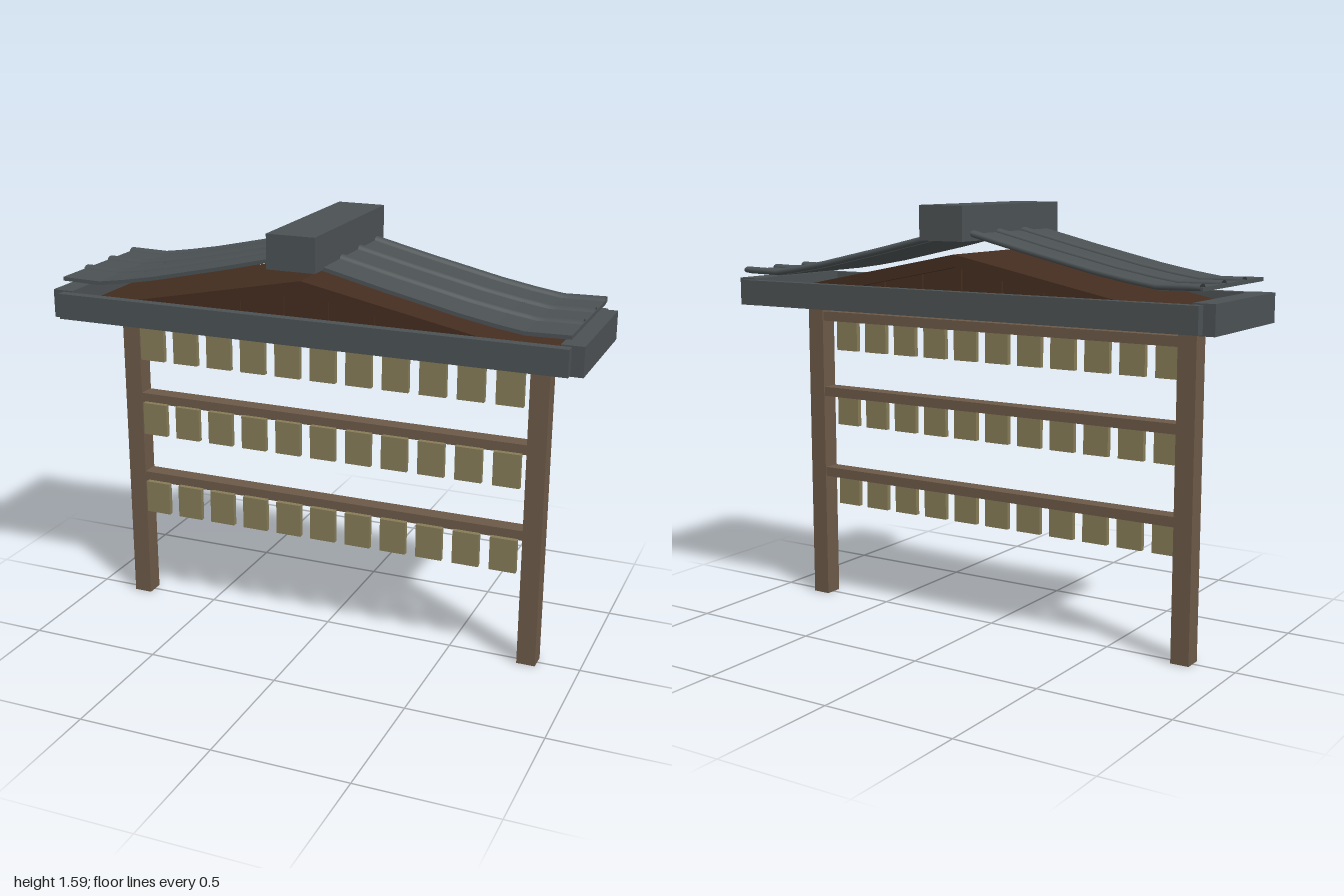
import * as THREE from 'three';

const mat = (name, color, side = THREE.FrontSide) => {
  const m = new THREE.MeshStandardMaterial({ color, side });
  m.name = name;
  return m;
};

export function createModel() {
  const slate = mat('slate grey', 0x4b5153, THREE.DoubleSide);
  const wood = mat('weathered wood', 0x6b5947);
  const plaqueWood = mat('plaque wood', 0x857b57);
  const darkWood = mat('dark brown wood', 0x442d20);
  const model = new THREE.Group();
  model.name = 'plaqueRack';

  const add = (name, geo, m) => {
    const mesh = new THREE.Mesh(geo, m);
    mesh.name = name;
    model.add(mesh);
    return mesh;
  };
  // box given by its limits on each axis
  const box = (name, m, [x0, x1], [y0, y1], [z0, z1]) =>
    add(name, new THREE.BoxGeometry(x1 - x0, y1 - y0, z1 - z0), m)
      .position.set((x0 + x1) / 2, (y0 + y1) / 2, (z0 + z1) / 2);
  // side profile extruded from z0 to z1
  const slab = (name, m, points, z0, z1) => {
    const shape = new THREE.Shape(points.map(([x, y]) => new THREE.Vector2(x, y)));
    const geo = new THREE.ExtrudeGeometry(shape, { depth: z1 - z0, bevelEnabled: false });
    add(name, geo.translate(0, 0, z0), m);
  };

  // posts
  for (const s of [-1, 1]) {
    box(s > 0 ? 'leftPost' : 'rightPost', wood, [s * 0.805 - 0.035, s * 0.805 + 0.035], [0, 1.22], [-0.035, 0.035]);
  }

  // rails with hanging plaques
  for (const top of [1.157, 0.855, 0.528]) {
    box('rail', wood, [-0.77, 0.77], [top - 0.037, top], [-0.03, 0.034]);
    for (let i = -5; i <= 5; i++) {
      const x = i * 0.141;
      box('plaque', plaqueWood, [x - 0.05, x + 0.05], [top - 0.16, top - 0.033], [0.034, 0.054]);
    }
  }

  // eave frame
  for (const s of [-1, 1]) {
    box('eaveBoard', slate, [-0.957, 0.957], [1.195, 1.29], [s * 0.268 - 0.018, s * 0.268 + 0.018]);
    box('endBoard', slate, [s * 0.96 - 0.04, s * 0.96 + 0.04], [1.19, 1.295], [-0.25, 0.25]);
  }

  // inner ceiling and its rafters, sloping down both ways from the centre
  const slope = (x) => 1.417 - 0.2 * Math.abs(x);
  const chevron = (half, top, bottom) => [
    [-half, slope(half) - bottom], [0, slope(0) - bottom], [half, slope(half) - bottom],
    [half, slope(half) - top], [0, slope(0) - top], [-half, slope(half) - top],
  ];
  slab('ceiling', darkWood, chevron(0.92, 0, 0.018), -0.245, 0.245);
  for (const z of [-0.22, 0.22]) slab('rafter', darkWood, chevron(0.9, 0.018, 0.045), z - 0.02, z + 0.02);

  // gable planks, alternately set back
  for (const s of [-1, 1]) {
    for (let i = -7; i < 7; i++) {
      const x0 = i * 0.085, x1 = x0 + 0.085;
      const z = s * (0.19 - (i & 1) * 0.008);
      slab('gablePlank', darkWood,
        [[x0, 1.24], [x1, 1.24], [x1, slope(x1) - 0.01], [x0, slope(x0) - 0.01]], z - 0.008, z + 0.008);
    }
  }

  // swept roof sides with rounded battens
  const curve = [[0.04, 1.486], [0.3, 1.424], [0.57, 1.364], [0.7, 1.34], [0.8, 1.325], [0.955, 1.328]];
  const heightAt = (x) => {
    let i = 0;
    while (i < curve.length - 2 && x > curve[i + 1][0]) i++;
    const [a, b] = [curve[i], curve[i + 1]];
    return a[1] + (b[1] - a[1]) * (x - a[0]) / (b[0] - a[0]);
  };
  for (const s of [-1, 1]) {
    const lift = s < 0 ? 0.018 : 0;
    const upper = curve.map(([x, y]) => [s * x, y + lift]);
    const lower = curve.map(([x, y]) => [s * x, y + lift - 0.014]).reverse();
    slab('roofPanel', slate, upper.concat(lower), -0.25, 0.25);

    for (const z of [-0.255, -0.087, 0.083]) {
      const path = new THREE.CurvePath();
      const pts = curve.map(([x, y]) => new THREE.Vector3(s * x, y, z));
      for (let i = 1; i < pts.length; i++) path.add(new THREE.LineCurve3(pts[i - 1], pts[i]));
      const geo = new THREE.TubeGeometry(path, 24, 0.022, 10);
      // flatten the batten towards the roof surface
      const p = geo.attributes.position;
      for (let i = 0; i < p.count; i++) {
        const base = heightAt(Math.abs(p.getX(i)));
        p.setY(i, base + lift + (p.getY(i) - base) * 0.55);
      }
      geo.computeVertexNormals();
      add('roofBatten', geo, slate);
    }
  }

  // ridge beam
  box('ridgeBeam', slate, [-0.09, 0.09], [1.467, 1.59], [-0.325, 0.325]);

  return model;
}
